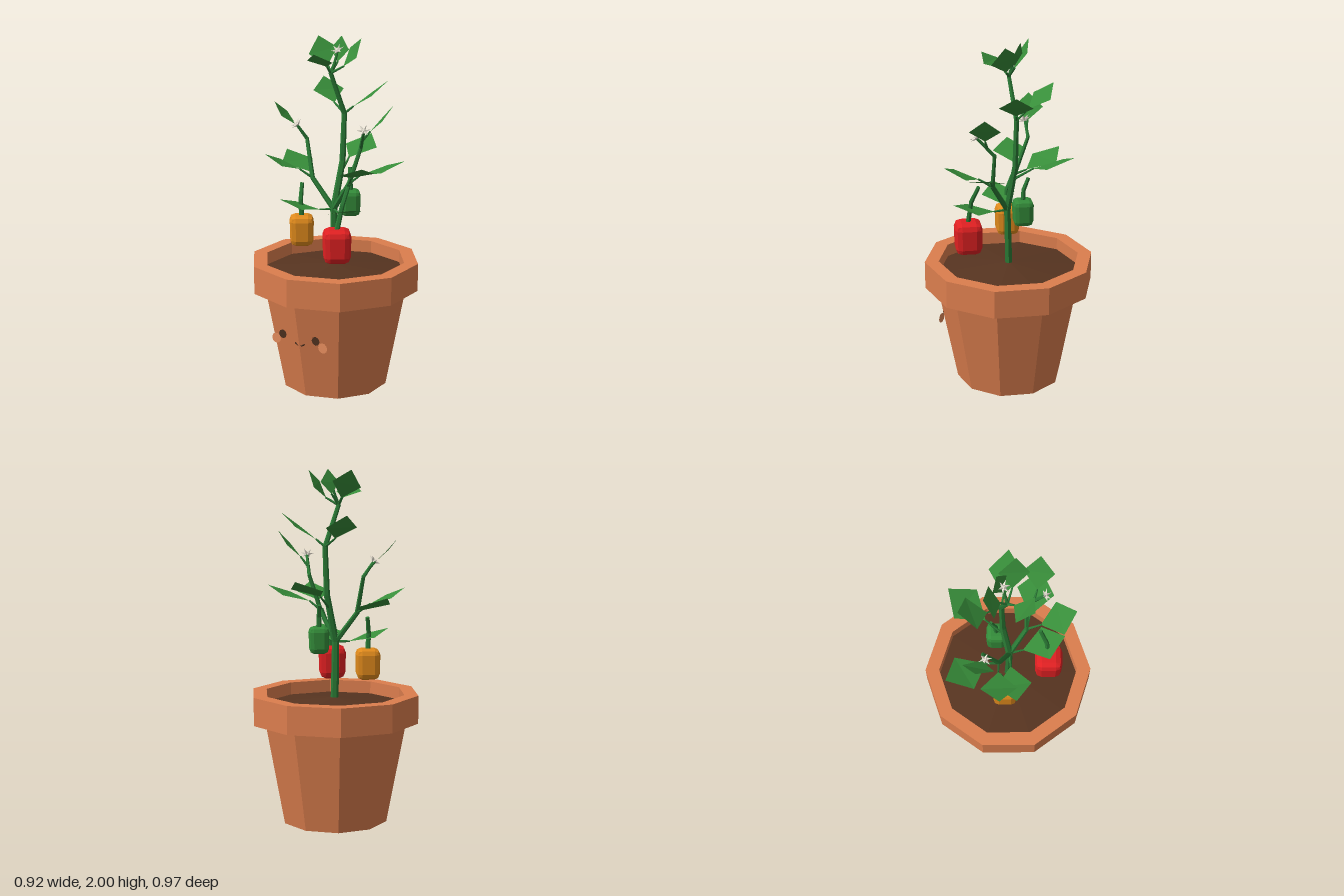
import * as THREE from 'three';
import { RoundedBoxGeometry } from 'three/addons/geometries/RoundedBoxGeometry.js';

const mat = (name, color, double = false) => {
  const m = new THREE.MeshStandardMaterial({ color, flatShading: true });
  m.name = name;
  if (double) m.side = THREE.DoubleSide;
  return m;
};

export function createModel() {
  const M = {
    clay: mat('terracotta', 0xdc7e4e),
    soil: mat('soil', 0x573420),
    stem: mat('stem green', 0x2a7a35),
    leaf: mat('leaf green', 0x388e3a, true),
    red: mat('ripe red', 0xe02022),
    orange: mat('ripening orange', 0xe08a1c),
    unripe: mat('unripe green', 0x348c3a),
    petal: mat('petal white', 0xe6e0d2),
    dark: mat('face brown', 0x4a2e1e, true),
    cheek: mat('cheek', 0xe48c5c, true),
  };
  const root = new THREE.Group();
  root.name = 'pottedPepperPlant';
  const V = (p) => new THREE.Vector3(...p);

  const add = (name, geo, material, pos = [0, 0, 0], parent = root) => {
    const mesh = new THREE.Mesh(geo, material);
    mesh.name = name;
    mesh.position.set(...pos);
    parent.add(mesh);
    return mesh;
  };

  // Ten-sided pot: outer wall, rim band and inner wall
  const potProfile = [
    [0, 0], [0.305, 0], [0.415, 0.58], [0.485, 0.58],
    [0.485, 0.74], [0.405, 0.74], [0.405, 0.64],
  ].map((p) => new THREE.Vector2(...p));
  add('pot', new THREE.LatheGeometry(potProfile, 10), M.clay);

  // Slightly mounded soil
  add('soil', new THREE.ConeGeometry(0.405, 0.045, 10, 1, true), M.soil, [0, 0.69, 0]);

  // Face on the front of the pot; the middle of the smile sinks into the pot
  for (const s of [-1, 1]) {
    add('eye', new THREE.CircleGeometry(0.026, 8), M.dark, [s * 0.11, 0.37, 0.368]);
    add('cheek', new THREE.CircleGeometry(0.03, 10), M.cheek, [s * 0.155, 0.337, 0.366]);
  }
  const smile = new THREE.TorusGeometry(0.045, 0.004, 4, 8, Math.PI / 2);
  smile.rotateZ(Math.PI * 1.25);
  add('smile', smile, M.dark, [0, 0.365, 0.361]);

  // Tapered limb made of straight segments through points [x, y, z]
  const limb = (name, points, r0, r1) => {
    const group = new THREE.Group();
    group.name = name;
    const n = points.length - 1;
    for (let i = 0; i < n; i++) {
      const a = V(points[i]), b = V(points[i + 1]);
      const dir = b.clone().sub(a), len = dir.length();
      const ra = r0 + ((r1 - r0) * i) / n, rb = r0 + ((r1 - r0) * (i + 1)) / n;
      const mesh = add(name + 'Segment', new THREE.CylinderGeometry(rb, ra, len + 0.008, 6), M.stem,
        a.add(b).multiplyScalar(0.5).toArray(), group);
      mesh.quaternion.setFromUnitVectors(new THREE.Vector3(0, 1, 0), dir.normalize());
    }
    root.add(group);
  };

  // Main stem and the two side branches
  const fork = [0, 1.03, 0.01], upper = [0.025, 1.57, -0.06], crown = [-0.02, 1.8, 0.01];
  const leftKnee = [-0.13, 1.2, 0.03], rightKnee = [0.12, 1.2, 0.04];
  limb('mainStem', [[0, 0.68, 0], fork, [0.02, 1.3, -0.05], upper, crown], 0.023, 0.012);
  limb('sideBranch', [fork, leftKnee, [-0.2, 1.41, -0.02], [-0.24, 1.49, 0.02]], 0.016, 0.008);
  limb('sideBranch', [fork, rightKnee, [0.17, 1.4, 0], [0.235, 1.51, 0.075]], 0.016, 0.008);
  limb('flowerStalk', [crown, [-0.01, 1.85, -0.01], [0, 1.92, -0.03]], 0.01, 0.006);

  // Kite-shaped leaf from base to tip, with a stalk from its node
  const leaf = (node, base, tip, half = 0.1, side = null) => {
    const b = V(base), t = V(tip), axis = t.clone().sub(b);
    const w = side ? V(side) : axis.clone().cross(new THREE.Vector3(0, 1, 0));
    w.normalize().multiplyScalar(half);
    const mid = b.clone().addScaledVector(axis, 0.54);
    mid.y -= 0.008;
    const l = mid.clone().sub(w), r = mid.clone().add(w);
    const geo = new THREE.BufferGeometry().setFromPoints([b, r, l, l, r, t]);
    geo.computeVertexNormals();
    add('leaf', geo, M.leaf);
    limb('leafStalk', [node, base], 0.008, 0.005);
  };
  leaf(fork, [-0.06, 1.03, 0.06], [-0.225, 1.1, 0.22]);
  leaf(fork, [0.06, 1.03, 0.06], [0.245, 1.1, 0.22]);
  leaf(leftKnee, [-0.19, 1.25, 0.07], [-0.345, 1.34, 0.19]);
  leaf(rightKnee, [0.17, 1.25, 0.1], [0.32, 1.34, 0.235]);
  leaf(leftKnee, [-0.18, 1.22, -0.02], [-0.41, 1.31, -0.12], 0.105);
  leaf(rightKnee, [0.18, 1.25, 0.02], [0.41, 1.34, -0.07], 0.105);
  leaf([0.015, 1.22, -0.03], [0, 1.3, -0.15], [0, 1.4, -0.4], 0.105);
  leaf([-0.22, 1.45, 0], [-0.255, 1.49, 0.01], [-0.368, 1.62, 0.06], 0.085);
  leaf([0.2, 1.45, 0.03], [0.24, 1.5, 0.02], [0.355, 1.65, -0.04], 0.085);
  leaf(upper, [-0.06, 1.62, -0.09], [-0.19, 1.75, -0.18], 0.093);
  leaf(upper, [0.07, 1.61, -0.08], [0.245, 1.76, -0.17], 0.093);

  // Crown leaves
  leaf(crown, [-0.02, 1.84, 0.05], [-0.02, 1.92, 0.18], 0.083);
  leaf(crown, [0, 1.86, -0.03], [0, 2, -0.07], 0.06);
  for (const s of [-1, 1]) {
    leaf(crown, [s * 0.05, 1.84, -0.01], [s * 0.14, 1.995, -0.05], 0.083, [s * -0.68, 0.22, -0.7]);
  }

  // Star flowers: six petals around a small heart, leaning forward and outward
  const flower = (pos, lean) => {
    const group = new THREE.Group();
    group.name = 'flower';
    group.position.set(...pos);
    group.rotation.set(0.7, 0, lean);
    for (let i = 0; i < 6; i++) {
      const petal = new THREE.ConeGeometry(0.011, 0.04, 4);
      petal.translate(0, 0.021, 0);
      petal.rotateX(1.25);
      petal.rotateY((i * Math.PI) / 3);
      add('petal', petal, M.petal, [0, 0, 0], group);
    }
    add('flowerHeart', new THREE.IcosahedronGeometry(0.012), M.petal, [0, 0.004, 0], group);
    root.add(group);
  };
  flower([-0.24, 1.495, 0.022], 0.4);
  flower([0.235, 1.512, 0.077], -0.4);
  flower([0, 1.922, -0.03], 0);

  // Chamfered pepper fruits with bent stalks
  const pepper = (name, material, pos, w, h, stalk) => {
    const geo = new RoundedBoxGeometry(w, h, w, 1, w * 0.24);
    const p = geo.attributes.position;
    for (let i = 0; i < p.count; i++) {
      const k = 0.97 + (0.06 * p.getY(i)) / h;
      p.setX(i, p.getX(i) * k);
      p.setZ(i, p.getZ(i) * k);
    }
    geo.rotateY(0.62);
    add(name, geo, material, pos);
    limb(name + 'Stalk', [[pos[0], pos[1] + h / 2 - 0.01, pos[2]], ...stalk], 0.015, 0.011);
  };
  pepper('redPepper', M.red, [0.135, 0.88, 0.19], 0.158, 0.19, [[0.15, 1.1, 0.16], [0.157, 1.195, 0.11]]);
  pepper('orangePepper', M.orange, [-0.163, 0.905, 0.095], 0.138, 0.175, [[-0.165, 1.08, 0.1], [-0.175, 1.17, 0.07]]);
  pepper('greenPepper', M.unripe, [0.037, 1.05, -0.107], 0.115, 0.15, [[0.035, 1.18, -0.11], [0.02, 1.245, -0.13]]);

  return root;
}
